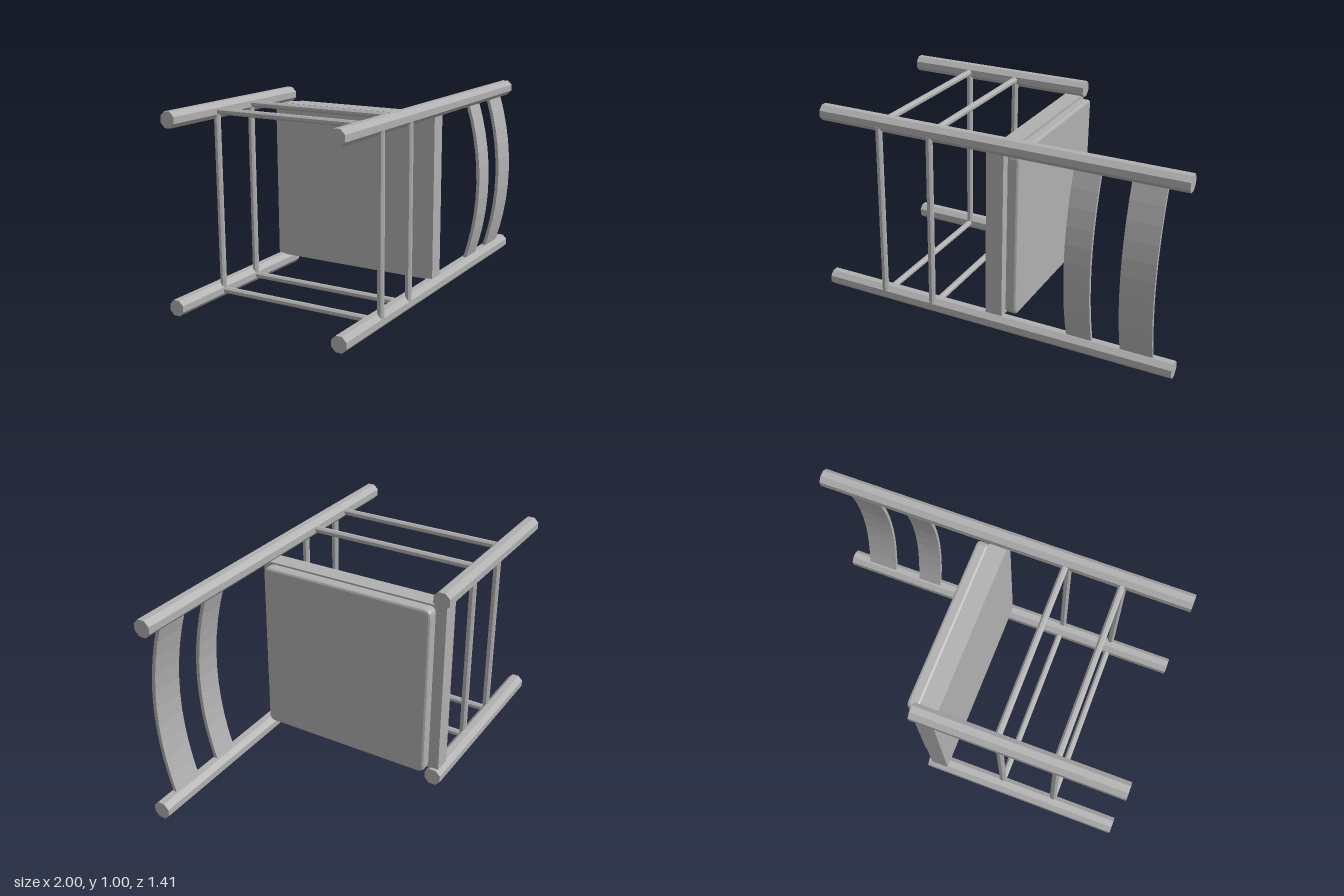
import * as THREE from 'three';

export function createModel() {
  const model = new THREE.Group();
  model.name = 'lyingChair';
  const grey = new THREE.MeshStandardMaterial({ color: 0xb0b0b0, flatShading: true });
  grey.name = 'plain grey';

  // The chair is built upright (x width, y up, z front), then laid on its side
  const chair = new THREE.Group();
  chair.name = 'chair';
  model.add(chair);

  const add = (name, geometry, x = 0, y = 0, z = 0) => {
    const mesh = new THREE.Mesh(geometry, grey);
    mesh.name = name;
    mesh.position.set(x, y, z);
    chair.add(mesh);
    return mesh;
  };
  const rod = (r, length, sides = 8) =>
    new THREE.CylinderGeometry(r, r, length, sides).rotateY(Math.PI / sides);

  const halfWidth = 0.459, backZ = 0, frontZ = 0.917;

  // Posts and side rungs
  for (const side of [-1, 1]) {
    const x = side * halfWidth;
    add('backPost', rod(0.0425, 1.846), x, 0.923, backZ);
    add('frontLeg', rod(0.0425, 1.002), x, 0.501, frontZ);
    for (const y of [0.332, 0.608])
      add('sideRung', rod(0.017, 0.917).rotateX(Math.PI / 2), x, y, 0.43);
  }

  // Cross rungs
  for (const y of [0.332, 0.608])
    for (const z of [-0.026, 0.889])
      add('crossRung', rod(0.017, 0.89).rotateZ(Math.PI / 2), 0, y, z);

  // Seat frame
  add('seatFrame', new THREE.BoxGeometry(0.85, 0.087, 0.95), 0, 0.942, 0.462);

  // Cushion with rounded corners and bevelled rim
  const w = 0.41, z0 = 0.035, z1 = 0.878, r = 0.02;
  const s = new THREE.Shape();
  s.moveTo(-w + r, -z1);
  s.lineTo(w - r, -z1);
  s.quadraticCurveTo(w, -z1, w, -z1 + r);
  s.lineTo(w, -z0 - r);
  s.quadraticCurveTo(w, -z0, w - r, -z0);
  s.lineTo(-w + r, -z0);
  s.quadraticCurveTo(-w, -z0, -w, -z0 - r);
  s.lineTo(-w, -z1 + r);
  s.quadraticCurveTo(-w, -z1, -w + r, -z1);
  const cushion = new THREE.ExtrudeGeometry(s, {
    depth: 0.036, bevelThickness: 0.012, bevelSize: 0.012, bevelSegments: 2, curveSegments: 3,
  }).rotateX(-Math.PI / 2);
  add('seatCushion', cushion, 0, 0.997, 0);

  // Back slats, bowed backwards
  const slat = (name, bottom, top) => {
    const g = new THREE.BoxGeometry(0.86, top - bottom, 0.018, 10, 1, 1);
    const p = g.attributes.position;
    for (let i = 0; i < p.count; i++) {
      const t = p.getX(i) / 0.43;
      p.setZ(i, p.getZ(i) - 0.07 * (1 - t * t));
    }
    g.computeVertexNormals();
    add(name, g, 0, (bottom + top) / 2, 0);
  };
  slat('lowerBackSlat', 1.324, 1.45);
  slat('upperBackSlat', 1.59, 1.747);

  // Lay the chair on its side and turn it
  const up = new THREE.Vector3(0.693, 0, -0.72).normalize();
  const side = new THREE.Vector3(0, 1, 0);
  const front = new THREE.Vector3().crossVectors(side, up);
  chair.quaternion.setFromRotationMatrix(new THREE.Matrix4().makeBasis(side, up, front));
  chair.position.set(-0.31, 0.5, 0.675);
  return model;
}
